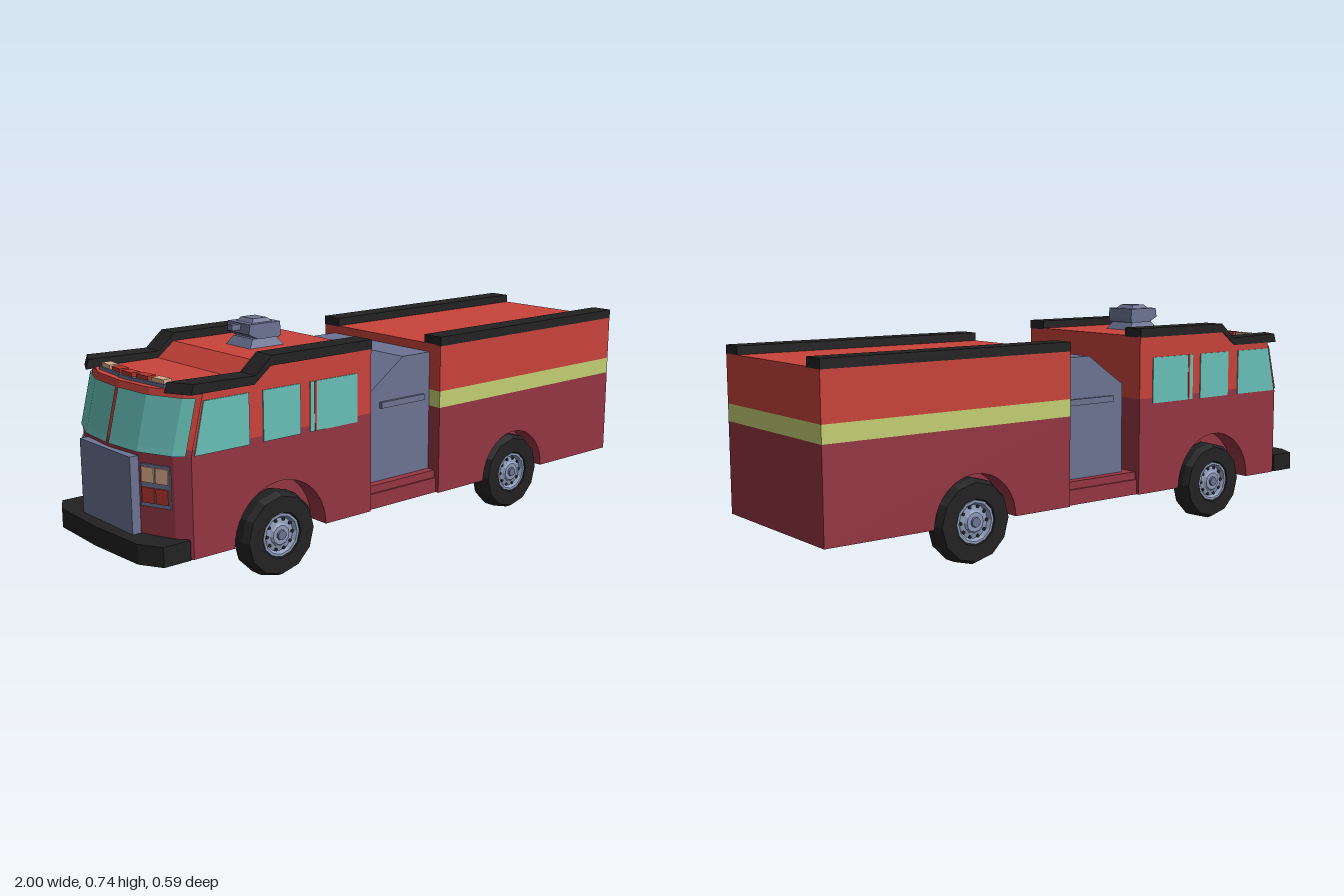
import * as THREE from 'three';

const mat = (name, color, extra = {}) => Object.assign(new THREE.MeshStandardMaterial({ color, flatShading: true, ...extra }), { name });

export function createModel() {
  const truck = new THREE.Group();
  truck.name = 'fireTruck';
  const M = {
    red: mat('bright red', 0xc8433a),
    dark: mat('dark red', 0x943643),
    stripe: mat('lime stripe', 0xc4d072),
    glass: mat('teal glass', 0x68c0b8, { side: THREE.DoubleSide }),
    slate: mat('slate metal', 0x6c7493),
    black: mat('black rubber', 0x222222),
    steel: mat('light steel', 0x8c9ab8),
    lamp: mat('warm lamp', 0xd8ab8c),
    signal: mat('signal red', 0xb5352c),
  };
  const W = 0.288; // half width of the cab

  const add = (name, geo, material, x = 0, y = 0, z = 0, parent = truck) => {
    const m = new THREE.Mesh(geo, material);
    m.name = name;
    m.position.set(x, y, z);
    parent.add(m);
    return m;
  };
  // box given by its limits
  const box = (name, material, x0, x1, y0, y1, z0, z1) =>
    add(name, new THREE.BoxGeometry(x1 - x0, y1 - y0, z1 - z0), material, (x0 + x1) / 2, (y0 + y1) / 2, (z0 + z1) / 2);
  // side profile in x, y extruded from z0 to z1
  const slab = (pts, z0, z1) => {
    const shape = pts instanceof THREE.Shape ? pts : new THREE.Shape(pts.map(p => new THREE.Vector2(...p)));
    return new THREE.ExtrudeGeometry(shape, { depth: z1 - z0, bevelEnabled: false, curveSegments: 10 }).translate(0, 0, z0);
  };
  // stacked plan outlines [x, z], each level {y, pts}; closed makes a solid
  const loft = (levels, closed = true) => {
    const v = [];
    const tri = (...t) => t.forEach(([y, p]) => v.push(p[0], y, p[1]));
    for (let l = 0; l + 1 < levels.length; l++) {
      const { y: y0, pts: A } = levels[l], { y: y1, pts: B } = levels[l + 1], n = A.length;
      for (let i = 0; i < (closed ? n : n - 1); i++) {
        const j = (i + 1) % n;
        tri([y0, A[j]], [y0, A[i]], [y1, B[i]]);
        tri([y0, A[j]], [y1, B[i]], [y1, B[j]]);
      }
    }
    if (closed) {
      const a = levels[0], b = levels[levels.length - 1];
      for (let i = 1; i + 1 < a.pts.length; i++) {
        tri([a.y, a.pts[0]], [a.y, a.pts[i]], [a.y, a.pts[i + 1]]);
        tri([b.y, b.pts[0]], [b.y, b.pts[i + 1]], [b.y, b.pts[i]]);
      }
    }
    const g = new THREE.BufferGeometry();
    g.setAttribute('position', new THREE.Float32BufferAttribute(v, 3));
    g.computeVertexNormals();
    return g;
  };
  // symmetric bowed plan: straight back at xb, half outline from side to middle
  const bow = (xb, half, shift = 0) => {
    const h = [[xb - shift, half[0][1]], ...half].map(([x, z]) => [x + shift, z]);
    return [...h, ...h.filter(p => p[1] > 0).reverse().map(([x, z]) => [x, -z])];
  };

  // cab nose
  const nose = [[-0.85, W], [-0.885, 0.25], [-0.93, 0.14], [-0.942, 0]];
  add('cabNoseLower', loft([{ y: 0.13, pts: bow(-0.72, nose) }, { y: 0.43, pts: bow(-0.72, nose) }, { y: 0.45, pts: bow(-0.72, nose, 0.005) }]), M.dark);
  add('cabNoseUpper', loft([{ y: 0.45, pts: bow(-0.63, nose, 0.005) }, { y: 0.61, pts: bow(-0.63, nose, 0.045) }]), M.red);
  add('cabUpper', slab([[-0.63, 0.45], [-0.18, 0.45], [-0.18, 0.657], [-0.57, 0.657], [-0.63, 0.61]], -W, W), M.red);
  const bumper = [[-0.95, 0.287], [-0.99, 0.215], [-1, 0]];
  add('bumper', loft([0.13, 0.19].map(y => ({ y, pts: bow(-0.86, bumper) }))), M.black);
  box('grille', M.slate, -0.958, -0.92, 0.19, 0.42, -0.14, 0.14);

  // lower bodies: core plus side panels with wheel arches
  const lowerBody = (name, x0, x1, top, cx, r, w) => {
    box(name + 'Core', M.dark, x0, x1, 0.13, top, -0.214, 0.214);
    const s = new THREE.Shape();
    s.moveTo(x0, 0.13);
    s.lineTo(cx - r, 0.13);
    s.absarc(cx, 0.13, r, Math.PI, 0, true);
    s.lineTo(x1, 0.13);
    s.lineTo(x1, top);
    s.lineTo(x0, top);
    add(name + 'LeftPanel', slab(s, 0.214, w), M.dark);
    add(name + 'RightPanel', slab(s, -w, -0.214), M.dark);
  };
  lowerBody('cabLower', -0.72, -0.18, 0.45, -0.537, 0.172, W);
  lowerBody('rearLower', 0.12, 1, 0.42, 0.487, 0.15, 0.29);

  // rear body
  box('rearStripe', M.stripe, 0.12, 1, 0.42, 0.475, -0.29, 0.29);
  box('rearUpper', M.red, 0.12, 1, 0.475, 0.628, -0.29, 0.29);

  // pump section between cab and rear body
  box('step', M.dark, -0.18, 0.12, 0.13, 0.18, -0.277, 0.277);
  box('stepTop', M.dark, -0.18, 0.12, 0.18, 0.205, -0.27, 0.27);
  add('pumpHousing', slab([[-0.145, 0.2], [0.12, 0.2], [0.12, 0.6], [0, 0.6], [-0.145, 0.5]], -0.24, 0.24), M.slate);

  for (const s of [1, -1]) {
    const side = s > 0 ? 'left' : 'right';
    const span = (a, b) => (s > 0 ? [a, b] : [-b, -a]);
    box(side + 'PumpHandle', M.slate, -0.1, 0.09, 0.445, 0.465, ...span(0.24, 0.25));

    // roof rails
    box(side + 'RearRail', M.black, 0.12, 1, 0.625, 0.655, ...span(0.215, 0.291));
    const rail = slab([[-0.885, 0.606], [-0.63, 0.606], [-0.57, 0.653], [-0.18, 0.653], [-0.18, 0.683], [-0.565, 0.683], [-0.625, 0.631], [-0.875, 0.636]], ...span(0.215, 0.291));
    const p = rail.attributes.position;
    for (let i = 0; i < p.count; i++)
      if (p.getX(i) < -0.8) p.setX(i, p.getX(i) + (Math.abs(p.getZ(i)) - 0.215) * 0.5);
    rail.computeVertexNormals();
    add(side + 'CabRail', rail, M.black);

    // side windows
    [[[-0.84, 0.432], [-0.65, 0.432], [-0.65, 0.585], [-0.805, 0.585]],
      [[-0.6, 0.432], [-0.462, 0.432], [-0.462, 0.585], [-0.6, 0.585]],
      [[-0.425, 0.432], [-0.238, 0.432], [-0.238, 0.585], [-0.425, 0.585]]].forEach((w, i) =>
      add(side + 'Window' + (i + 1), slab(w, ...span(W - 0.003, W + 0.003)), M.glass));
    box(side + 'WindowBar', M.red, -0.409, -0.402, 0.432, 0.585, ...span(W, W + 0.005));

    // windscreen half
    const half = [[-0.864, 0.28], [-0.89, 0.252], [-0.936, 0.141], [-0.947, 0.006]].map(([x, z]) => [x, z * s]);
    const pts = s > 0 ? half : half.reverse();
    const shifted = d => pts.map(([x, z]) => [x + d, z]);
    add(side + 'Windscreen', loft([{ y: 0.432, pts }, { y: 0.45, pts: shifted(0.005) }, { y: 0.592, pts: shifted(0.0405) }], false), M.glass);

    // headlight cluster on the angled corner
    const cluster = new THREE.Group();
    cluster.name = side + 'Headlights';
    cluster.position.set(-0.9085, 0, 0.195 * s);
    cluster.rotation.y = Math.atan(0.045 / 0.11) * s;
    truck.add(cluster);
    add('frame', new THREE.BoxGeometry(0.008, 0.125, 0.1), M.slate, 0, 0.338, 0, cluster);
    for (const dz of [-0.024, 0.024]) {
      add('headlamp', new THREE.BoxGeometry(0.016, 0.045, 0.042), M.lamp, 0, 0.37, dz, cluster);
      add('turnLamp', new THREE.BoxGeometry(0.016, 0.045, 0.042), M.signal, 0, 0.31, dz, cluster);
    }

    // wheels, axis along z, outer face at +z before mirroring
    for (const [end, x] of [['front', -0.537], ['rear', 0.487]]) {
      const wheel = new THREE.Group();
      wheel.name = side + end[0].toUpperCase() + end.slice(1) + 'Wheel';
      wheel.position.set(x, 0.132, 0.215 * s);
      if (s < 0) wheel.rotation.y = Math.PI;
      truck.add(wheel);
      const lathe = prof => new THREE.LatheGeometry(prof.map(q => new THREE.Vector2(...q)), 12).rotateX(Math.PI / 2);
      add('tyre', lathe([[0, 0], [0.125, 0], [0.133, 0.01], [0.133, 0.052], [0.122, 0.074], [0.072, 0.074], [0.066, 0.055], [0, 0.055]]), M.black, 0, 0, 0, wheel);
      add('rim', lathe([[0.068, 0.05], [0.068, 0.071], [0.06, 0.071], [0.052, 0.06], [0.036, 0.064], [0.03, 0.07], [0, 0.07]]), M.steel, 0, 0, 0, wheel);
      add('hubCap', new THREE.CylinderGeometry(0.015, 0.018, 0.012, 10).rotateX(Math.PI / 2), M.slate, 0, 0, 0.07, wheel);
      for (let i = 0; i < 10; i++) {
        const a = (i / 10) * Math.PI * 2;
        add('rimHole', new THREE.CylinderGeometry(0.006, 0.006, 0.006, 6).rotateX(Math.PI / 2), M.black, Math.cos(a) * 0.047, Math.sin(a) * 0.047, 0.061, wheel);
      }
    }
  }

  // roof light bar
  const bend = z => -0.858 + Math.abs(z) * 0.1;
  [-0.14, -0.07, 0, 0.07, 0.14].forEach((z, i) => {
    const base = add('lightBarBase', new THREE.BoxGeometry(0.04, 0.012, 0.072), M.slate, bend(z), 0.614, z);
    const lamp = add('lightBarLamp', new THREE.BoxGeometry(0.03, 0.016, 0.055), i % 4 ? M.signal : M.lamp, bend(z), 0.624, z);
    base.rotation.y = lamp.rotation.y = Math.sign(z) * 0.1;
  });

  // roof water cannon
  const rect = (x0, x1, z) => [[x1, z], [x0, z], [x0, -z], [x1, -z]];
  add('cannonBase', loft([{ y: 0.65, pts: rect(-0.48, -0.34, 0.066) }, { y: 0.684, pts: rect(-0.455, -0.365, 0.05) }]), M.slate);
  add('cannonBody', loft([{ y: 0.683, pts: rect(-0.44, -0.355, 0.058) }, { y: 0.7, pts: rect(-0.475, -0.352, 0.058) }, { y: 0.731, pts: rect(-0.47, -0.355, 0.058) }]), M.slate);
  add('cannonTop', loft([{ y: 0.73, pts: rect(-0.45, -0.372, 0.041) }, { y: 0.743, pts: rect(-0.438, -0.385, 0.031) }]), M.slate);
  box('cannonNozzle', M.slate, -0.505, -0.46, 0.71, 0.728, -0.012, 0.012);

  return truck;
}
